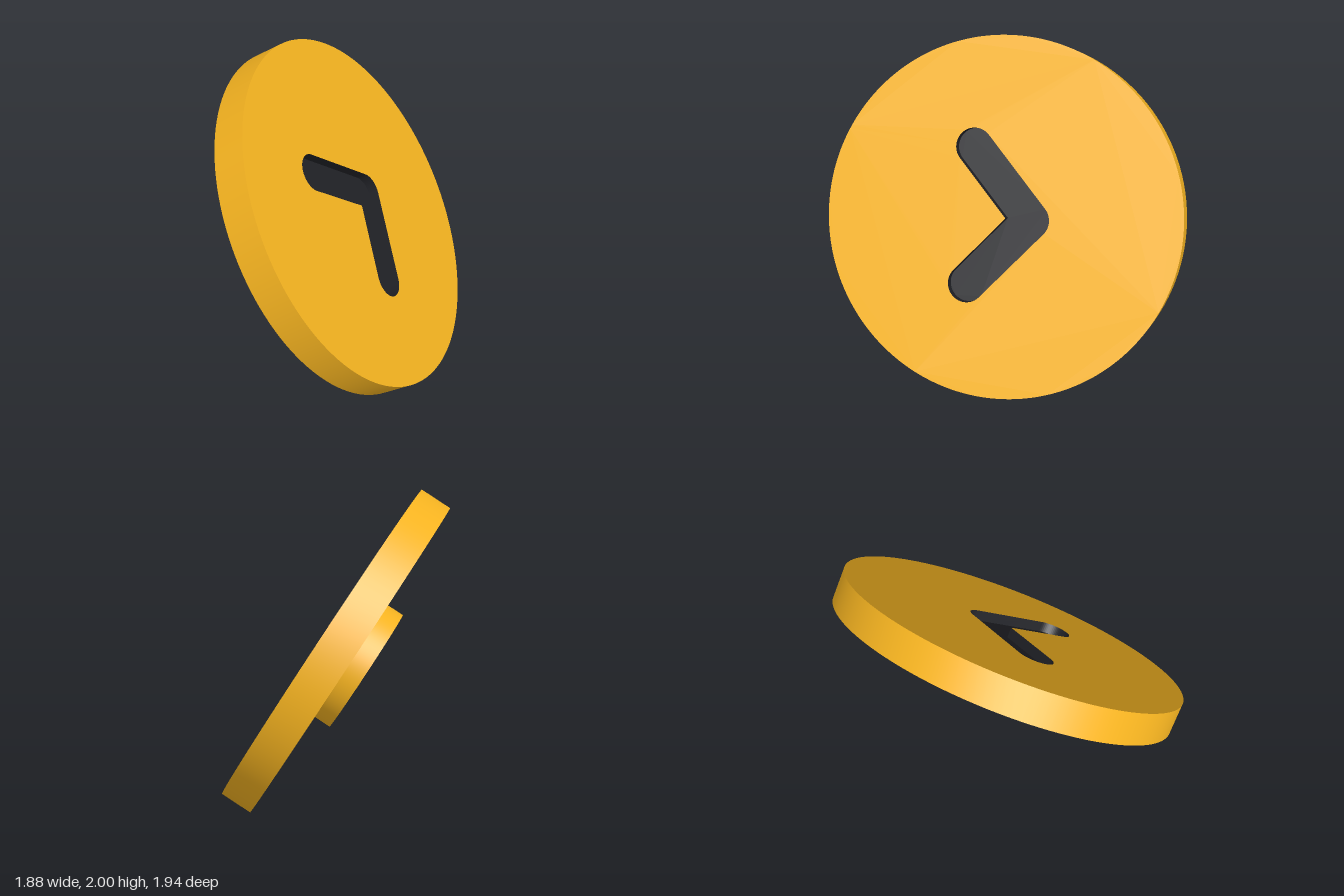
import * as THREE from 'three';
import { toCreasedNormals } from 'three/addons/utils/BufferGeometryUtils.js';

const R = 1.116, HALF = 0.102;                  // disc radius and half thickness
const RING_OUT = 0.413, RING_IN = 0.286, RING_H = 0.12;
const GROOVE_R = 0.116, GROOVE_D = 0.065;       // groove half width and depth
const SEG = 128;

// Bent stroke with rounded ends: two arms meeting at a corner
function chevronShape() {
  const A = new THREE.Vector2(-0.227, 0.41);
  const B = new THREE.Vector2(-0.156, -0.434);
  const C = new THREE.Vector2(0.186, 0.018);
  const a = A.clone().sub(C).angle(), b = B.clone().sub(C).angle();
  const q = Math.PI / 2, mid = (a + b) / 2;
  const inner = GROOVE_R / Math.sin((b - a) / 2);
  const s = new THREE.Shape();
  s.absarc(C.x, C.y, GROOVE_R, b + q - 2 * Math.PI, a - q, false);
  s.absarc(A.x, A.y, GROOVE_R, a - q, a + q, false);
  s.lineTo(C.x + inner * Math.cos(mid), C.y + inner * Math.sin(mid));
  s.absarc(B.x, B.y, GROOVE_R, b - q, b + q, false);
  s.closePath();
  return s;
}

// Inward-facing wall along a counter-clockwise outline
function innerWall(points, z0, z1) {
  const pos = [];
  points.forEach((p, i) => {
    const n = points[(i + 1) % points.length];
    if (p.distanceTo(n) < 1e-6) return;
    pos.push(n.x, n.y, z0, p.x, p.y, z0, p.x, p.y, z1);
    pos.push(n.x, n.y, z0, p.x, p.y, z1, n.x, n.y, z1);
  });
  const g = new THREE.BufferGeometry();
  g.setAttribute('position', new THREE.Float32BufferAttribute(pos, 3));
  g.computeVertexNormals();
  return toCreasedNormals(g, 0.5);
}

export function createModel() {
  const model = new THREE.Group();
  const disc = new THREE.Group();
  disc.name = 'tiltedDisc';
  model.add(disc);

  const gold = new THREE.MeshStandardMaterial({ color: 0xf5b320 });
  const dark = new THREE.MeshStandardMaterial({ color: 0x202126 });
  const add = (name, geometry, material, z = 0) => {
    const mesh = new THREE.Mesh(geometry, material);
    mesh.name = name;
    mesh.position.z = z;
    disc.add(mesh);
  };

  // Rim, back face and raised back ring in one turned profile
  const profile = [
    [0, -HALF], [RING_IN, -HALF], [RING_IN, -HALF - RING_H], [RING_OUT, -HALF - RING_H],
    [RING_OUT, -HALF], [R, -HALF], [R, HALF],
  ].map(([x, y]) => new THREE.Vector2(x, y));
  const body = new THREE.LatheGeometry(profile, SEG).rotateX(Math.PI / 2);
  add('bodyWithBackRing', toCreasedNormals(body, 0.5), gold);

  // Front face with the groove cut out
  const groove = chevronShape();
  const face = new THREE.Shape().absarc(0, 0, R, 0, Math.PI * 2, false);
  face.holes.push(groove);
  add('frontFace', new THREE.ShapeGeometry(face, SEG), gold, HALF);

  // Dark groove: floor and walls
  add('grooveFloor', new THREE.ShapeGeometry(groove, SEG), dark, HALF - GROOVE_D);
  add('grooveWall', innerWall(groove.getPoints(SEG), HALF - GROOVE_D, HALF), dark);

  // Tilt the disc to face up, forward and to its left
  const n = new THREE.Vector3(0.618, 0.532, 0.579).normalize();
  const u = new THREE.Vector3(0, 1, 0).cross(n).normalize();
  const v = n.clone().cross(u);
  disc.quaternion.setFromRotationMatrix(new THREE.Matrix4().makeBasis(u, v, n));
  disc.position.y = 1;
  return model;
}
